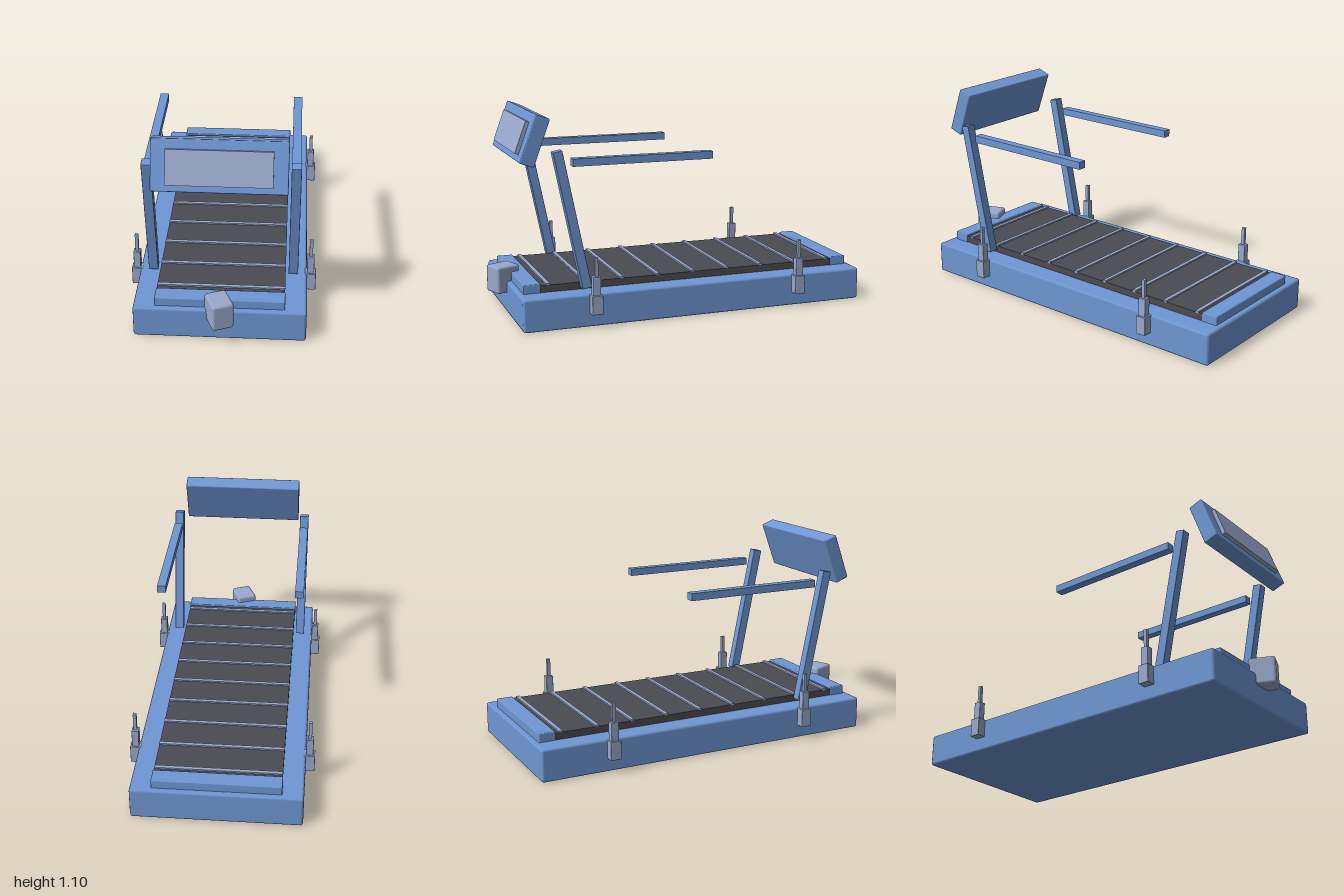
import * as THREE from 'three';
import { RoundedBoxGeometry } from 'three/addons/geometries/RoundedBoxGeometry.js';

const blue = new THREE.MeshStandardMaterial({ color: 0x6f97d4 });
blue.name = 'frameBlue';
const grey = new THREE.MeshStandardMaterial({ color: 0x9aaacd });
grey.name = 'paleGrey';
const dark = new THREE.MeshStandardMaterial({ color: 0x4b4b53 });
dark.name = 'beltCharcoal';

// Adds a box to a parent; a bevel above zero softens its edges
function box(parent, name, material, size, position, bevel = 0) {
  const geometry = bevel > 0
    ? new RoundedBoxGeometry(...size, 1, bevel)
    : new THREE.BoxGeometry(...size);
  const mesh = new THREE.Mesh(geometry, material);
  mesh.name = name;
  mesh.position.set(...position);
  parent.add(mesh);
  return mesh;
}

export function createModel() {
  const model = new THREE.Group();
  model.name = 'treadmill';

  // Deck, end covers and running belt
  box(model, 'base', blue, [0.885, 0.175, 1.905], [0, 0.09, -0.045], 0.013);
  box(model, 'frontCover', blue, [0.665, 0.06, 0.09], [0, 0.195, 0.835], 0.006);
  box(model, 'rearCover', blue, [0.665, 0.06, 0.09], [0, 0.195, -0.925], 0.006);
  box(model, 'belt', dark, [0.66, 0.05, 1.68], [0, 0.19, -0.045]);

  // Cross strips on the belt
  for (let i = 0; i < 9; i++) {
    box(model, 'beltStrip', grey, [0.66, 0.012, 0.02], [0, 0.217, -0.85 + i * 0.2]);
  }

  for (const side of [-1, 1]) {
    // Leaning uprights and level handrails
    const upright = box(model, 'upright', blue, [0.05, 0.735, 0.05], [side * 0.37, 0.556, 0.63], 0.003);
    upright.rotation.x = 0.2;
    box(model, 'handrail', blue, [0.046, 0.04, 0.76], [side * 0.37, 0.855, 0.245]);

    // Stepped posts on the deck sides
    for (const z of [0.53, -0.615]) {
      const post = new THREE.Group();
      post.name = 'sidePost';
      post.position.set(side * 0.461, 0, z);
      box(post, 'postSleeve', grey, [0.058, 0.1, 0.058], [0, 0.127, 0], 0.003);
      box(post, 'postMiddle', grey, [0.038, 0.1, 0.042], [0, 0.225, 0], 0.003);
      box(post, 'postTip', grey, [0.018, 0.1, 0.018], [0, 0.324, 0]);
      model.add(post);
    }
  }

  // Tilted console with its display panel
  const console = new THREE.Group();
  console.name = 'console';
  console.position.set(0, 0.965, 0.803);
  console.rotation.x = -0.35;
  box(console, 'consoleHousing', blue, [0.665, 0.26, 0.08], [0, 0, 0], 0.006);
  box(console, 'display', grey, [0.52, 0.175, 0.02], [0, -0.007, 0.05]);
  model.add(console);

  // Small motor housing turned at an angle on the front edge
  const motor = new THREE.Group();
  motor.name = 'motorHousing';
  motor.position.set(0, 0.1875, 0.915);
  motor.rotation.y = 0.39;
  box(motor, 'motorBody', grey, [0.115, 0.147, 0.14], [0, 0, 0], 0.014);
  model.add(motor);

  return model;
}
